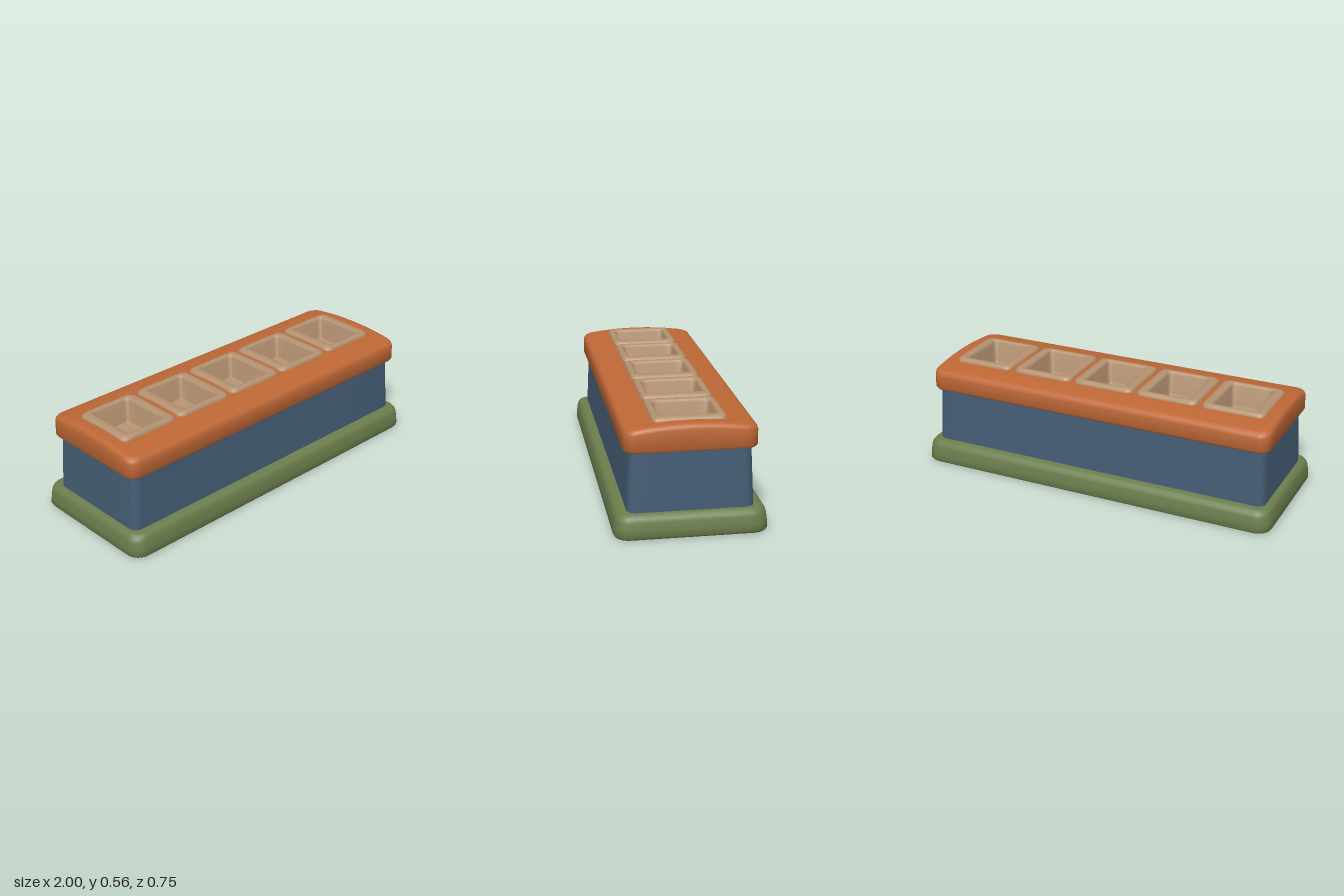
import * as THREE from 'three';
import { toCreasedNormals } from 'three/addons/utils/BufferGeometryUtils.js';

const CORNER = 6, SIDE = 8;

// Gentle crown of the lid across its depth
const crown = (z) => -0.27 * z * z;

// Rounded rectangle outline as [x, z] points, with subdivided straight sides
function outline(hx, hz, r) {
  const corners = [[1, 1], [-1, 1], [-1, -1], [1, -1]];
  const pts = [];
  corners.forEach(([sx, sz], q) => {
    for (let i = 0; i <= CORNER; i++) {
      const a = (q + i / CORNER) * Math.PI / 2;
      pts.push([sx * (hx - r) + r * Math.cos(a), sz * (hz - r) + r * Math.sin(a)]);
    }
    const from = pts[pts.length - 1];
    const [nx, nz] = corners[(q + 1) % 4];
    const a = (q + 1) * Math.PI / 2;
    const to = [nx * (hx - r) + r * Math.cos(a), nz * (hz - r) + r * Math.sin(a)];
    for (let i = 1; i < SIDE; i++) {
      const t = i / SIDE;
      pts.push([from[0] + (to[0] - from[0]) * t, from[1] + (to[1] - from[1]) * t]);
    }
  });
  return pts;
}

// Skin through rings of [halfX, halfZ, cornerRadius, y, crowned]
function loft(rings, capStart, capEnd) {
  const pos = [], idx = [];
  let n = 0;
  for (const [hx, hz, r, y, crowned] of rings) {
    const pts = outline(hx, hz, r);
    n = pts.length;
    for (const [x, z] of pts) pos.push(x, y + (crowned ? crown(z) : 0), z);
  }
  for (let i = 0; i < rings.length - 1; i++) {
    for (let j = 0; j < n; j++) {
      const k = (j + 1) % n;
      const a = i * n + j, b = i * n + k, c = a + n, d = b + n;
      idx.push(a, c, b, b, c, d);
    }
  }
  const cap = (ring, start) => {
    const centre = pos.length / 3;
    pos.push(0, rings[ring][3], 0);
    for (let j = 0; j < n; j++) {
      const a = ring * n + j, b = ring * n + (j + 1) % n;
      idx.push(centre, start ? a : b, start ? b : a);
    }
  };
  if (capStart) cap(0, true);
  if (capEnd) cap(rings.length - 1, false);
  const g = new THREE.BufferGeometry();
  g.setAttribute('position', new THREE.Float32BufferAttribute(pos, 3));
  g.setIndex(idx);
  return toCreasedNormals(g, 0.75);
}

function material(name, color) {
  const m = new THREE.MeshStandardMaterial({ color });
  m.name = name;
  return m;
}

export function createModel() {
  const green = material('moss green', 0x6b7d4c);
  const blue = material('slate blue', 0x455d75);
  const orange = material('burnt orange', 0xbf6836);
  const tan = material('tan', 0xb49271);

  const model = new THREE.Group();
  model.name = 'fiveCupBox';
  const add = (parent, name, geometry, mat) => {
    const mesh = new THREE.Mesh(geometry, mat);
    mesh.name = name;
    parent.add(mesh);
    return mesh;
  };

  // Plinth with soft top edge
  add(model, 'base', loft([
    [0.98, 0.353, 0.06, 0.003], [0.992, 0.366, 0.07, 0.006], [1, 0.373, 0.075, 0.018],
    [0.998, 0.371, 0.075, 0.05], [0.993, 0.366, 0.073, 0.09], [0.987, 0.36, 0.07, 0.108],
    [0.977, 0.35, 0.065, 0.12], [0.963, 0.336, 0.055, 0.125],
  ], true, true), green);

  // Slightly tapered body
  add(model, 'body', loft([
    [0.95, 0.307, 0.045, 0.12], [0.935, 0.294, 0.045, 0.43],
  ], true, true), blue);

  // Crowned lid, open in the middle for the cups
  const lid = new THREE.Group();
  lid.name = 'lid';
  model.add(lid);
  add(lid, 'lidShell', loft([
    [0.945, 0.305, 0.045, 0.42], [0.957, 0.316, 0.055, 0.423], [0.964, 0.323, 0.06, 0.434],
    [0.963, 0.322, 0.06, 0.53, true], [0.959, 0.318, 0.058, 0.545, true],
    [0.95, 0.309, 0.052, 0.554, true], [0.936, 0.296, 0.045, 0.556, true],
    [0.91, 0.23, 0.03, 0.555, true], [0.86, 0.16, 0.02, 0.555, true],
  ], true, false), orange);

  // Lid strips showing between neighbouring cups
  for (let i = 0; i < 4; i++) {
    const g = new THREE.PlaneGeometry(0.06, 0.32, 1, 8).rotateX(-Math.PI / 2);
    const p = g.attributes.position;
    for (let v = 0; v < p.count; v++) p.setY(v, 0.555 + crown(p.getZ(v)));
    g.computeVertexNormals();
    add(lid, 'lidStrip', g, orange).position.x = -0.54 + i * 0.36;
  }

  // Five recessed cups with raised rounded rims
  const cupGeometry = loft([
    [0.17, 0.18, 0.035, 0.5], [0.17, 0.18, 0.035, 0.546], [0.167, 0.177, 0.035, 0.557],
    [0.161, 0.171, 0.033, 0.564], [0.15, 0.16, 0.03, 0.567], [0.123, 0.153, 0.024, 0.567],
    [0.116, 0.146, 0.022, 0.564], [0.111, 0.14, 0.02, 0.553], [0.106, 0.131, 0.018, 0.45],
    [0.102, 0.127, 0.016, 0.44], [0.092, 0.117, 0.014, 0.436],
  ], false, true);
  for (let i = 0; i < 5; i++) {
    add(model, 'cup' + (i + 1), cupGeometry, tan).position.set((i - 2) * 0.36, 0, -0.003);
  }

  return model;
}
